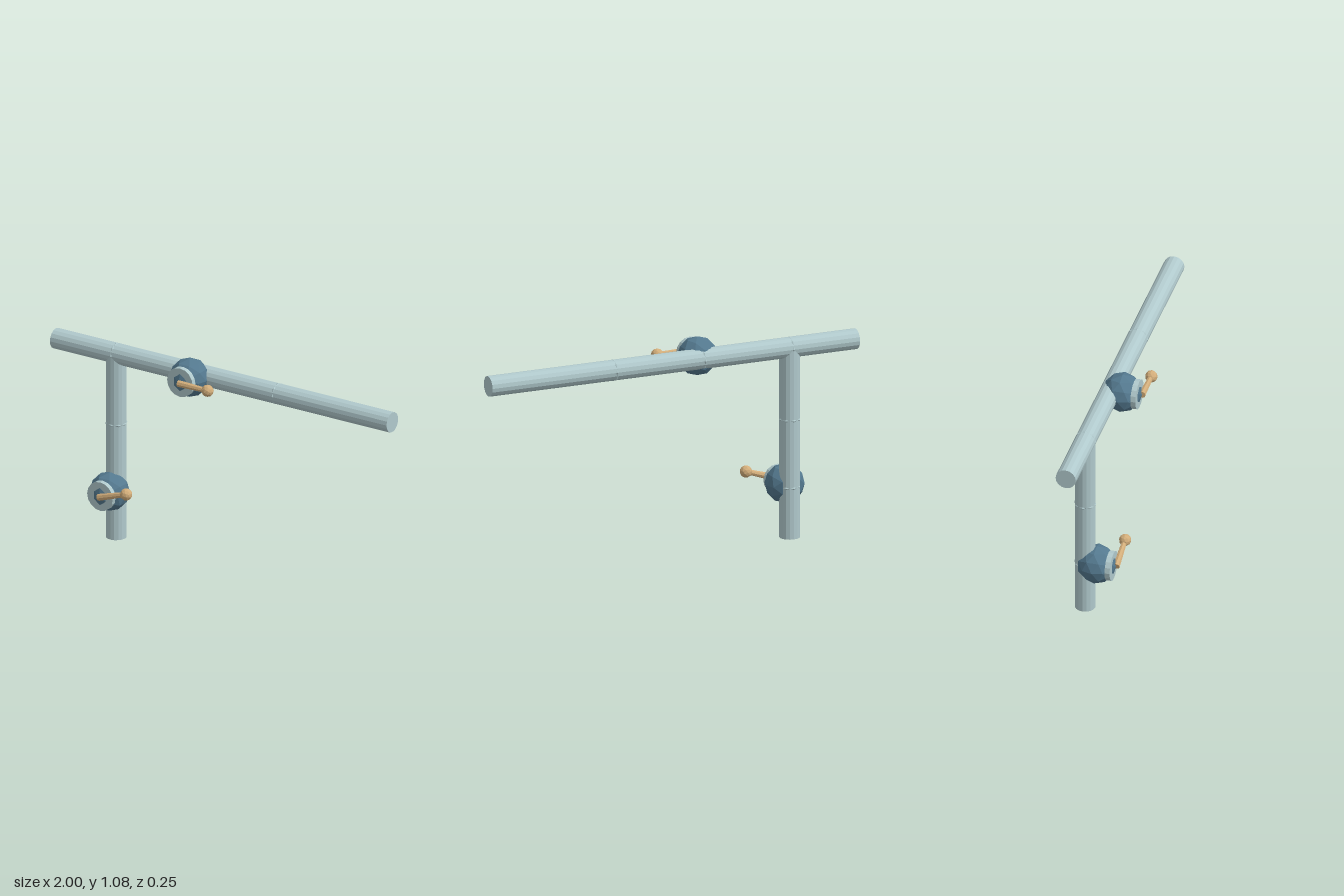
import * as THREE from 'three';

const PIPE_Z = -0.067, PIPE_R = 0.052, TOP_Y = 0.978, POST_X = -0.64;

export function createModel() {
  const model = new THREE.Group();
  model.name = 'pipework';
  const material = (name, color) => {
    const m = new THREE.MeshStandardMaterial({ color, flatShading: true });
    m.name = name;
    return m;
  };
  const pipeMetal = material('pale pipe metal', 0xb0c9cc);
  const valveBlue = material('valve blue', 0x54798f);
  const brass = material('brass', 0xd2ad7a);

  const add = (parent, name, geometry, mat, x = 0, y = 0, z = 0) => {
    const mesh = new THREE.Mesh(geometry, mat);
    mesh.name = name;
    mesh.position.set(x, y, z);
    parent.add(mesh);
    return mesh;
  };

  // Horizontal main pipe and the branch dropping from it
  const pipe = (length) => new THREE.CylinderGeometry(PIPE_R, PIPE_R, length, 16);
  add(model, 'mainPipe', pipe(2), pipeMetal, 0, TOP_Y, PIPE_Z).rotation.z = Math.PI / 2;
  add(model, 'branchPipe', pipe(TOP_Y), pipeMetal, POST_X, TOP_Y / 2, PIPE_Z);

  // Joint rings, only just proud of the pipes
  const ring = new THREE.TorusGeometry(0.036, 0.02, 6, 8);
  for (const x of [POST_X, -0.16, 0.32]) {
    add(model, 'mainPipeRing', ring, pipeMetal, x, TOP_Y, PIPE_Z).rotation.y = Math.PI / 2;
  }
  for (const y of [0.262, 0.61]) {
    add(model, 'branchPipeRing', ring, pipeMetal, POST_X, y, PIPE_Z).rotation.x = Math.PI / 2;
  }

  // Faceted valve with a front collar and a ball-ended lever
  const addValve = (x, y, angle) => {
    const valve = new THREE.Group();
    valve.name = 'valve';
    valve.position.set(x, y, 0);
    add(valve, 'valveBody', new THREE.IcosahedronGeometry(0.1, 1), valveBlue, 0, 0, -0.008);
    add(valve, 'valveCollar', new THREE.CylinderGeometry(0.076, 0.076, 0.026, 16), pipeMetal, 0, 0, 0.066)
      .rotation.x = Math.PI / 2;

    const lever = new THREE.Group();
    lever.name = 'lever';
    lever.position.z = 0.092;
    lever.rotation.z = angle;
    add(lever, 'leverRod', new THREE.CylinderGeometry(0.013, 0.018, 0.173, 8), brass, 0.0865)
      .rotation.z = -Math.PI / 2;
    add(lever, 'leverKnob', new THREE.IcosahedronGeometry(0.031, 1), brass, 0.173);
    valve.add(lever);
    model.add(valve);
  };
  addValve(-0.165, 0.977, 0);
  addValve(POST_X, 0.262, 0.31);

  return model;
}
